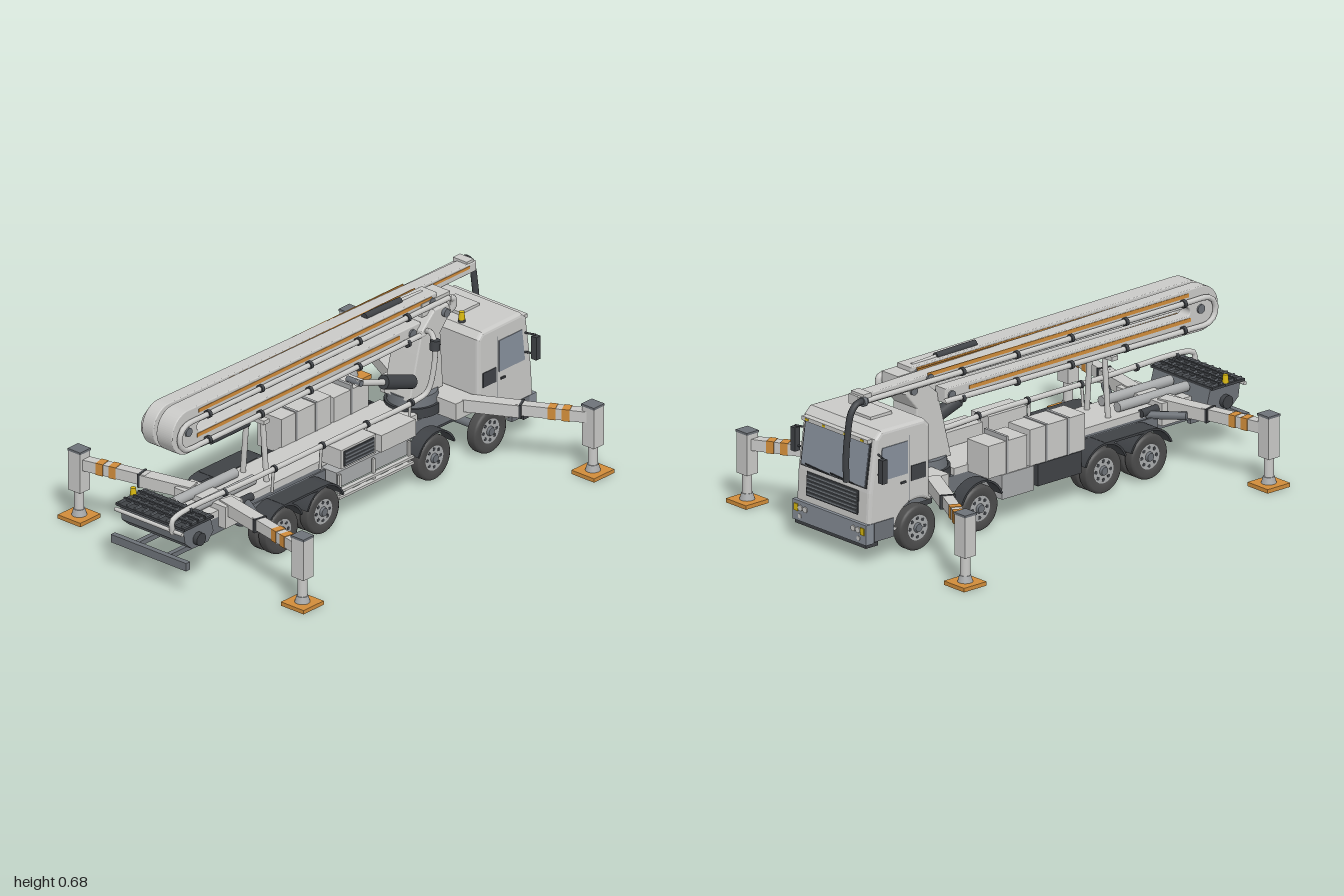
import * as THREE from 'three';

const mat = (name, color, double) => {
  const m = new THREE.MeshStandardMaterial({ color });
  m.name = name;
  if (double) m.side = THREE.DoubleSide;
  return m;
};
const body = mat('light grey paint', 0xc9c9c7), orange = mat('orange', 0xd08c3a), dark = mat('dark grey', 0x3f4246),
  steel = mat('steel grey', 0x6d7278), glass = mat('glass', 0x87909c), tyre = mat('tyre rubber', 0x4b4b4b),
  yellow = mat('yellow', 0xd9b80f), rimGrey = mat('rim grey', 0xa9abac), bumperGrey = mat('bumper grey', 0x858c95);

export function createModel() {
  const root = new THREE.Group();
  root.name = 'concretePumpTruck';
  const V = (x, y, z) => new THREE.Vector3(x, y, z);
  const add = (name, geo, m, parent = root) => {
    const mesh = new THREE.Mesh(geo, m);
    mesh.name = name;
    parent.add(mesh);
    return mesh;
  };
  // box given by its limits
  const box = (name, m, x0, x1, y0, y1, z0, z1, parent) => {
    const b = add(name, new THREE.BoxGeometry(x1 - x0, y1 - y0, z1 - z0), m, parent);
    b.position.set((x0 + x1) / 2, (y0 + y1) / 2, (z0 + z1) / 2);
    return b;
  };
  // round rod between two points
  const rod = (name, m, a, b, r, r2 = r, seg = 16, parent) => {
    const c = add(name, new THREE.CylinderGeometry(r2, r, a.distanceTo(b), seg), m, parent);
    c.position.copy(a).lerp(b, 0.5);
    c.quaternion.setFromUnitVectors(V(0, 1, 0), b.clone().sub(a).normalize());
    return c;
  };
  const tube = (name, m, pts, r, n = 60) =>
    add(name, new THREE.TubeGeometry(new THREE.CatmullRomCurve3(pts), n, r, 10), m);
  // side profile extruded from z0 to z1
  const plate = (name, m, shape, z0, z1, bevel = 0) => {
    const g = new THREE.ExtrudeGeometry(shape, {
      depth: z1 - z0 - 2 * bevel, curveSegments: 20, bevelEnabled: bevel > 0,
      bevelSize: bevel, bevelThickness: bevel, bevelOffset: -bevel, bevelSegments: 3 });
    g.translate(0, 0, z0 + bevel);
    return add(name, g, m);
  };
  const poly = pts => new THREE.Shape(pts.map(p => new THREE.Vector2(...p)));

  // --- cab with wheel arch ---
  const cab = poly([[0.64, 0.182], [0.64, 0.49], [0.665, 0.515], [0.885, 0.518], [0.915, 0.49], [0.945, 0.28], [0.955, 0.1], [0.815, 0.1]]);
  cab.absarc(0.705, 0.093, 0.11, 0.06, 2.2, false);
  plate('cab', body, cab, -0.205, 0.205, 0.015);
  const frontX = y => y > 0.28 ? 0.945 - (y - 0.28) / 7 : 0.945 + (0.28 - y) / 18;
  const frontPlate = (name, m, y0, y1, z0, z1, out = 0.002) => {
    const p = box(name, m, -0.004, 0.004, -(y1 - y0) / 2, (y1 - y0) / 2, z0, z1);
    const y = (y0 + y1) / 2;
    p.position.set(frontX(y) + out, y, (z0 + z1) / 2);
    p.rotation.z = y > 0.28 ? 0.142 : 0.055;
  };
  frontPlate('windscreenSeal', dark, 0.295, 0.477, -0.185, 0.185, 0);
  frontPlate('windscreen', glass, 0.302, 0.468, -0.178, 0.178);
  frontPlate('grille', dark, 0.185, 0.28, -0.145, 0.145, 0);
  for (let i = 0; i < 6; i++) frontPlate('grilleSlat', steel, 0.19 + i * 0.015, 0.199 + i * 0.015, -0.14, 0.14, 0.004);
  box('sunVisor', body, 0.9, 0.94, 0.474, 0.49, -0.185, 0.185);
  box('bumper', bumperGrey, 0.925, 0.966, 0.08, 0.16, -0.207, 0.207);
  box('bumperLip', dark, 0.9, 0.96, 0.065, 0.08, -0.2, 0.2);
  for (const s of [-1, 1]) {
    const span = (a, b) => s > 0 ? [a, b] : [-b, -a];
    box('headlampYellow', yellow, 0.962, 0.97, 0.118, 0.146, ...span(0.176, 0.197));
    for (const z of [0.135, 0.162]) rod('headlamp', body, V(0.96, 0.133, s * z), V(0.97, 0.133, s * z), 0.012);
    rod('fogLamp', body, V(0.96, 0.1, s * 0.165), V(0.969, 0.1, s * 0.165), 0.009);
    for (const z of [0.06, 0.155]) box('roofMarker', yellow, 0.935, 0.942, 0.478, 0.486, s * z - 0.008, s * z + 0.008);
    const pane = poly([[0.755, 0.32], [0.9, 0.32], [0.884, 0.45], [0.755, 0.45]]);
    plate('doorWindow', glass, pane, s * 0.205 - 0.003, s * 0.205 + 0.003);
    box('doorSeam', steel, 0.745, 0.748, 0.2, 0.47, s * 0.205 - 0.001, s * 0.205 + 0.001);
    box('sideVent', dark, 0.665, 0.738, 0.285, 0.345, s * 0.205 - 0.003, s * 0.205 + 0.003);
    box('doorHandle', dark, 0.765, 0.79, 0.285, 0.293, s * 0.206 - 0.004, s * 0.206 + 0.004);
    box('cabStep', steel, 0.825, 0.925, 0.085, 0.16, s * 0.195 - 0.013, s * 0.195 + 0.013);
    // mirrors on tubular arms
    box('mirror', dark, 0.905, 0.93, 0.33, 0.425, s * 0.247 - 0.013, s * 0.247 + 0.013);
    for (const y of [0.35, 0.43]) rod('mirrorArm', dark, V(0.9, y, s * 0.195), V(0.917, y, s * 0.247), 0.004, 0.004, 8);
    for (const a of [-0.12, 0.02]) if (s > 0) rod('wiper', dark, V(0.953, 0.303, a), V(0.952, 0.31, a + 0.13), 0.003, 0.003, 6);
  }
  box('roofHatch', body, 0.72, 0.83, 0.515, 0.528, -0.08, 0.04);
  const beacon = (x, y, z) => {
    rod('beaconBase', dark, V(x, y, z), V(x, y + 0.01, z), 0.014);
    rod('beacon', yellow, V(x, y + 0.01, z), V(x, y + 0.042, z), 0.013, 0.01);
  };
  beacon(0.68, 0.518, 0.085);
  beacon(-0.89, 0.265, -0.165);

  // --- wheels and axles ---
  const tyreProfile = [[0.05, -0.02], [0.06, -0.024], [0.08, -0.025], [0.088, -0.02], [0.091, -0.014], [0.091, 0.014], [0.088, 0.02], [0.08, 0.025], [0.06, 0.024], [0.05, 0.02]]
    .map(p => new THREE.Vector2(...p));
  const wheel = (x, z, s) => {
    const g = new THREE.Group();
    g.name = 'wheel';
    g.position.set(x, 0.091, z);
    g.rotation.x = s * Math.PI / 2;
    root.add(g);
    add('tyre', new THREE.LatheGeometry(tyreProfile, 32), tyre, g);
    rod('rim', rimGrey, V(0, -0.018, 0), V(0, 0.018, 0), 0.053, 0.053, 24, g);
    rod('hub', steel, V(0, 0.017, 0), V(0, 0.028, 0), 0.02, 0.016, 16, g);
    for (let i = 0; i < 8; i++) {
      const a = i * Math.PI / 4, c = 0.037 * Math.cos(a), d = 0.037 * Math.sin(a);
      rod('rimHole', dark, V(c, 0.016, d), V(c, 0.019, d), 0.0075, 0.0075, 8, g);
    }
  };
  const axles = [-0.467, -0.235, 0.39, 0.705];
  axles.forEach((x, i) => {
    rod('axle', steel, V(x, 0.091, -0.17), V(x, 0.091, 0.17), 0.017);
    if (i < 2) add('differential', new THREE.SphereGeometry(0.045, 20, 14), steel).position.set(x, 0.095, 0);
    for (const s of [-1, 1]) {
      wheel(x, s * 0.188, s);
      if (i < 2) wheel(x, s * 0.134, s);
      if (i === 3) continue;
      // arched mudguard
      const f = new THREE.Shape();
      f.absarc(x, 0.093, 0.112, 0.35, Math.PI - 0.35, false);
      f.absarc(x, 0.093, 0.104, Math.PI - 0.35, 0.35, true);
      const z0 = i < 2 ? 0.13 : 0.16;
      plate('mudguard', dark, f, s > 0 ? z0 : -0.22, s > 0 ? 0.22 : -z0);
    }
  });
  for (const s of [-1, 1]) {
    box('mudguardBridge', dark, -0.467, -0.235, 0.197, 0.206, s * 0.175 - 0.045, s * 0.175 + 0.045);
    box('mudguardPanel', steel, -0.58, -0.135, 0.15, 0.205, s * 0.125 - 0.004, s * 0.125 + 0.004);
    box('chassisRail', steel, -0.8, 0.92, 0.135, 0.2, s * 0.08 - 0.015, s * 0.08 + 0.015);
  }
  rod('driveShaft', steel, V(-0.467, 0.1, 0), V(0.45, 0.12, 0), 0.012);
  box('engine', dark, 0.5, 0.88, 0.1, 0.2, -0.06, 0.06);
  for (let i = 0; i < 7; i++) box('crossMember', steel, -0.78 + i * 0.2, -0.74 + i * 0.2, 0.145, 0.19, -0.07, 0.07);
  box('deck', body, -0.78, 0.42, 0.2, 0.228, -0.095, 0.095);

  // --- equipment along the deck ---
  box('waterTank', body, -0.14, 0.14, 0.2, 0.345, -0.21, -0.09);
  box('toolLocker', body, 0.155, 0.35, 0.2, 0.33, -0.21, -0.09);
  for (const x of [-0.06, 0.05, 0.25]) box('tankStrap', rimGrey, x, x + 0.012, 0.2, 0.349, -0.213, -0.088);
  box('sideLocker', dark, -0.12, 0.1, 0.11, 0.198, -0.21, -0.1);
  box('fuelTank', rimGrey, 0.12, 0.28, 0.1, 0.198, -0.21, -0.1);
  box('oilCooler', body, -0.12, 0.075, 0.222, 0.3, 0.095, 0.195);
  box('coolerGrille', dark, -0.108, 0.062, 0.23, 0.292, 0.193, 0.199);
  for (let i = 0; i < 4; i++) box('coolerSlat', steel, -0.105, 0.06, 0.235 + i * 0.015, 0.242 + i * 0.015, 0.198, 0.202);
  box('valveBox', body, 0.1, 0.295, 0.215, 0.285, 0.1, 0.2);
  box('hydraulicBox', rimGrey, -0.13, 0.29, 0.14, 0.205, 0.1, 0.18);
  for (const y of [0.105, 0.13]) box('stepRail', body, -0.14, 0.28, y, y + 0.01, 0.185, 0.205);
  for (const x of [-0.13, 0.06, 0.26]) box('stepBracket', body, x, x + 0.012, 0.105, 0.2, 0.185, 0.195);
  tube('deckPipe', body, [V(-0.985, 0.24, 0.12), V(-0.99, 0.29, 0.12), V(-0.96, 0.306, 0.12), V(-0.5, 0.306, 0.12), V(0, 0.306, 0.12), V(0.38, 0.306, 0.12),
    V(0.43, 0.33, 0.135), V(0.455, 0.45, 0.15), V(0.46, 0.53, 0.145), V(0.49, 0.545, 0.1), V(0.51, 0.53, 0.055)], 0.011, 90);
  rod('pipeCoupling', dark, V(0.458, 0.5, 0.148), V(0.461, 0.54, 0.148), 0.02);
  for (const x of [-0.9, -0.7, -0.42, -0.15, 0.1, 0.35]) {
    rod('deckPipeClamp', dark, V(x, 0.306, 0.12), V(x + 0.012, 0.306, 0.12), 0.015);
    if (x > -0.6) rod('deckPipePost', body, V(x, 0.21, 0.115), V(x, 0.3, 0.12), 0.006, 0.006, 8);
  }
  for (const s of [-1, 1]) {
    rod('boomRest', body, V(-0.39, 0.22, s * 0.06), V(-0.39, 0.475, s * 0.04), 0.011, 0.011, 8);
    rod('pumpMotor', dark, V(-0.65, 0.225, s * 0.1), V(-0.52, 0.222, s * 0.1), 0.016);
    rod('pumpCylinder', rimGrey, V(-0.8, 0.25, s * 0.045), V(-0.45, 0.25, s * 0.045), 0.02);
  }
  box('boomRestTop', body, -0.405, -0.375, 0.465, 0.482, -0.1, 0.06);

  // --- hopper and rear guard ---
  const hopper = poly([[-0.8, 0.2], [-0.82, 0.27], [-0.97, 0.27], [-0.96, 0.2], [-0.92, 0.165], [-0.83, 0.165]]);
  plate('hopper', steel, hopper, -0.16, 0.16);
  box('hopperRim', dark, -0.98, -0.815, 0.262, 0.272, -0.175, 0.175);
  for (let i = 0; i < 9; i++) box('grateBar', steel, -0.975, -0.82, 0.272, 0.279, -0.164 + i * 0.04, -0.157 + i * 0.04);
  for (const x of [-0.94, -0.9, -0.86]) box('grateCrossBar', dark, x, x + 0.008, 0.27, 0.282, -0.17, 0.17);
  for (const s of [-1, 1]) {
    rod('hopperBearing', dark, V(-0.89, 0.2, s * 0.155), V(-0.89, 0.2, s * 0.18), 0.026);
    box('guardArm', steel, -0.98, -0.78, 0.115, 0.135, s * 0.08 - 0.01, s * 0.08 + 0.01);
    rod('guardHanger', steel, V(-0.79, 0.16, s * 0.08), V(-0.84, 0.12, s * 0.08), 0.012, 0.012, 8);
  }
  rod('hopperRail', body, V(-0.985, 0.25, -0.17), V(-0.985, 0.25, 0.17), 0.008);
  box('rearGuard', steel, -0.988, -0.965, 0.105, 0.138, -0.19, 0.19);

  // --- outriggers ---
  box('rearOutriggerBox', body, -0.7, -0.6, 0.16, 0.25, -0.13, 0.13);
  box('frontOutriggerBox', body, 0.53, 0.635, 0.19, 0.26, -0.19, 0.19);
  const outrigger = (x0, z0, x1, z1, y) => {
    const g = new THREE.Group(), L = Math.hypot(x1 - x0, z1 - z0);
    g.name = 'outrigger';
    g.position.set(x0, y, z0);
    g.rotation.y = Math.atan2(z0 - z1, x1 - x0);
    root.add(g);
    box('beamSleeve', body, 0, L * 0.45, -0.026, 0.024, -0.028, 0.028, g);
    box('sleeveCollar', dark, L * 0.44, L * 0.46, -0.028, 0.027, -0.03, 0.03, g);
    box('beam', body, L * 0.4, L, -0.02, 0.025, -0.021, 0.021, g);
    for (const d of [0.1, 0.155]) box('beamStripe', orange, L - d - 0.015, L - d + 0.015, -0.022, 0.027, -0.023, 0.023, g);
    box('legHousing', body, x1 - 0.028, x1 + 0.028, 0.12, 0.285, z1 - 0.03, z1 + 0.03);
    box('legCap', steel, x1 - 0.03, x1 + 0.03, 0.283, 0.292, z1 - 0.032, z1 + 0.032);
    rod('legRam', body, V(x1, 0.035, z1), V(x1, 0.125, z1), 0.019);
    rod('legFoot', rimGrey, V(x1, 0.015, z1), V(x1, 0.042, z1), 0.03, 0.022);
    box('footPad', orange, x1 - 0.057, x1 + 0.057, 0, 0.016, z1 - 0.057, z1 + 0.057);
  };
  for (const s of [-1, 1]) {
    outrigger(0.595, s * 0.17, 0.83, s * 0.614, 0.238);
    outrigger(-0.645, s * 0.08, -0.75, s * 0.565, 0.232);
    const strut = rod('rearStrut', steel, V(-0.55, 0.21, s * 0.1), V(-0.635, 0.22, s * 0.23), 0.016, 0.016, 8);
    strut.name = 'outriggerSwingRam';
  }

  // --- turret and lift cylinder ---
  rod('slewRing', dark, V(0.5, 0.2, 0), V(0.5, 0.24, 0), 0.11, 0.11, 28);
  rod('turretBase', steel, V(0.5, 0.24, 0), V(0.5, 0.28, 0), 0.1, 0.095, 28);
  plate('turret', body, poly([[0.41, 0.27], [0.6, 0.27], [0.585, 0.5], [0.645, 0.57], [0.63, 0.605], [0.55, 0.605], [0.48, 0.54], [0.455, 0.45]]), -0.07, 0.065, 0.006);
  rod('turretPin', steel, V(0.605, 0.578, -0.08), V(0.605, 0.578, 0.08), 0.017);
  rod('liftRod', body, V(0.1, 0.465, 0.075), V(0.27, 0.408, 0.075), 0.012);
  rod('liftCylinder', dark, V(0.25, 0.416, 0.075), V(0.41, 0.36, 0.075), 0.028);
  rod('liftPin', steel, V(0.11, 0.463, 0.02), V(0.11, 0.463, 0.09), 0.012);

  // --- folded boom: two hairpin arm pairs with pipes, clamps and stripes ---
  const hairpin = (name, tipTop, tipLow, z0, z1) => {
    const p = new THREE.Shape();
    p.moveTo(tipTop, tipTop > 0.7 ? 0.64 : 0.658);
    p.lineTo(-0.81, 0.665);
    p.absarc(-0.81, 0.575, 0.09, Math.PI / 2, Math.PI * 1.5, false);
    p.lineTo(tipLow, 0.507);
    p.lineTo(tipLow, 0.565);
    p.lineTo(-0.74, 0.558);
    p.absarc(-0.74, 0.576, 0.018, Math.PI * 1.5, Math.PI / 2, true);
    p.lineTo(tipTop, tipTop > 0.7 ? 0.6 : 0.596);
    plate(name, body, p, z0, z1, 0.004);
    for (const z of [z0, z1]) {
      box('boomStripe', orange, -0.75, Math.min(tipTop, 0.6) - 0.03, 0.636, 0.651, z - 0.002, z + 0.002);
      box('boomStripe', orange, -0.76, tipLow - 0.12, 0.536, 0.551, z - 0.002, z + 0.002);
    }
  };
  hairpin('mainBoom', 0.59, 0.5, -0.04, 0.04);
  hairpin('outerBoom', 0.92, 0.48, -0.113, -0.055);
  box('tipStripe', orange, 0.63, 0.88, 0.622, 0.633, -0.056, -0.053);
  box('boomHeadLink', body, 0.5, 0.66, 0.585, 0.64, -0.045, 0.045);
  for (const [x, y] of [[-0.81, 0.575], [0.45, 0.535], [0.56, 0.627]]) rod('boomPin', steel, V(x, y, -0.12), V(x, y, 0.047), 0.018);
  const pipe = (z, tip) => {
    const pts = [V(tip, 0.622, z), V(0.3, 0.622, z), V(-0.3, 0.622, z), V(-0.75, 0.622, z)];
    for (let i = 0; i <= 6; i++) {
      const a = Math.PI / 2 + i * Math.PI / 6;
      pts.push(V(-0.82 + 0.055 * Math.cos(a), 0.567 + 0.055 * Math.sin(a), z));
    }
    pts.push(V(-0.75, 0.512, z), V(-0.3, 0.514, z), V(0.2, 0.518, z), V(0.5, 0.522, z));
    tube('boomPipe', body, pts, 0.011, 120);
    for (const x of [-0.72, -0.425, -0.15, 0.125, 0.4]) for (const y of [0.622, 0.515]) {
      rod('pipeClamp', dark, V(x, y, z), V(x + 0.014, y, z), 0.016);
      const inner = z > 0 ? 0.035 : -0.1;
      box('clampBracket', dark, x, x + 0.012, y - 0.008, y + 0.008, Math.min(z, inner), Math.max(z, inner));
    }
  };
  pipe(0.056, 0.64);
  pipe(-0.127, 0.9);
  tube('pipeElbow', body, [V(0.64, 0.622, 0.056), V(0.665, 0.61, 0.056), V(0.665, 0.57, 0.05), V(0.64, 0.55, 0.02)], 0.013, 20);
  tube('endHose', dark, [V(0.89, 0.622, -0.127), V(0.94, 0.622, -0.127), V(0.968, 0.59, -0.125), V(0.98, 0.5, -0.118), V(0.983, 0.4, -0.112), V(0.978, 0.315, -0.11)], 0.013, 40);
  rod('hoseCoupling', steel, V(0.9, 0.622, -0.127), V(0.915, 0.622, -0.127), 0.019);
  box('tipBracket', body, 0.87, 0.91, 0.61, 0.65, -0.13, -0.06);
  rod('foldCylinder', dark, V(0.24, 0.664, -0.012), V(0.44, 0.66, -0.012), 0.014);
  rod('foldRod', body, V(0.44, 0.66, -0.012), V(0.56, 0.655, -0.012), 0.007);
  rod('lowerFoldCylinder', dark, V(-0.64, 0.464, 0), V(-0.43, 0.464, 0), 0.014);
  rod('lowerFoldRod', body, V(-0.76, 0.468, 0), V(-0.64, 0.464, 0), 0.007);
  return root;
}
